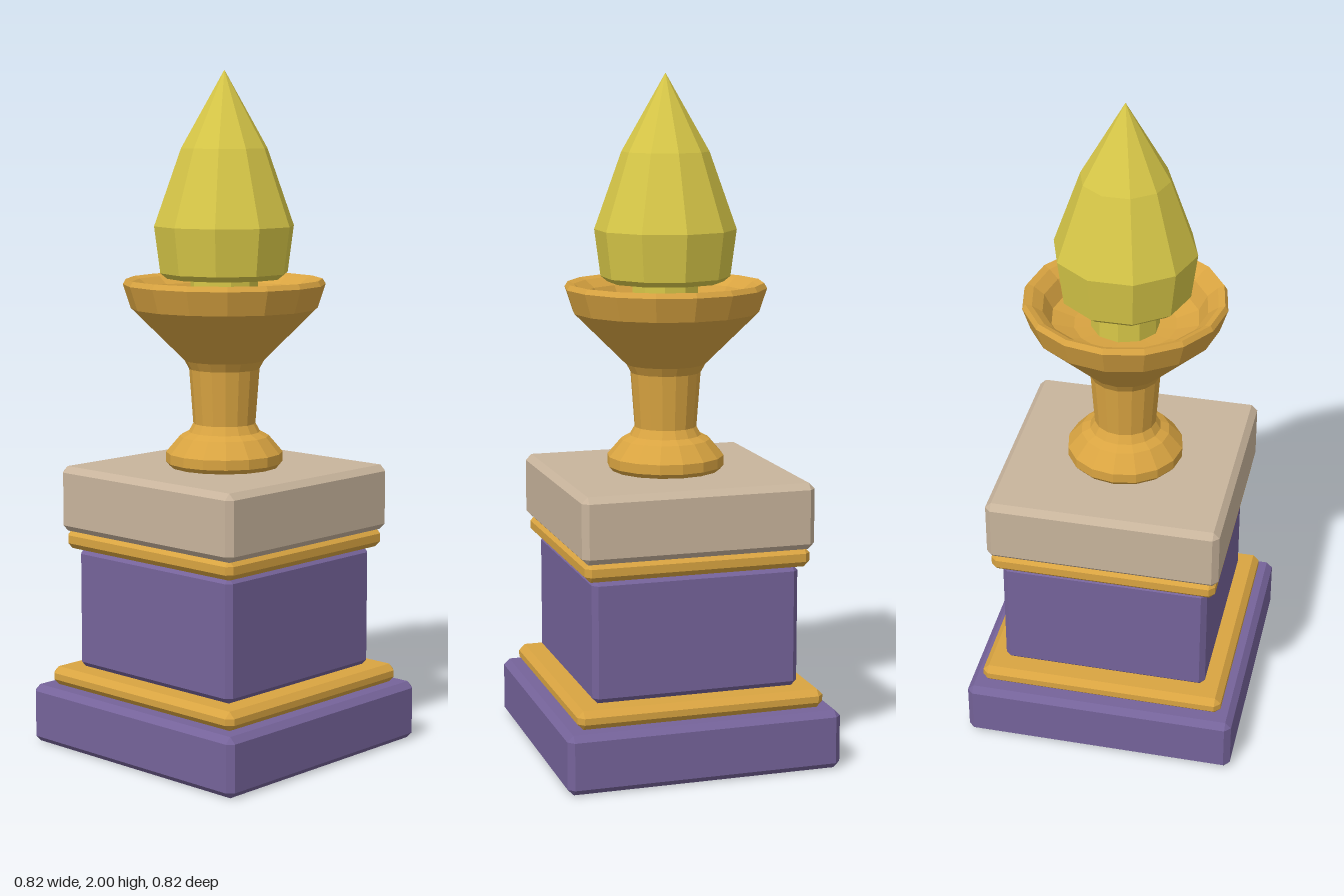
import * as THREE from 'three';
import { ConvexGeometry } from 'three/addons/geometries/ConvexGeometry.js';

const makeMaterial = (name, color) => {
  const m = new THREE.MeshStandardMaterial({ color, flatShading: true });
  m.name = name;
  return m;
};

// Square block with chamfered edges, spanning y0 to y1
function chamferedBlock(half, y0, y1, c) {
  const h = (y1 - y0) / 2;
  const points = [];
  for (const sx of [-1, 1]) for (const sy of [-1, 1]) for (const sz of [-1, 1]) {
    points.push(
      new THREE.Vector3(sx * half, sy * (h - c), sz * (half - c)),
      new THREE.Vector3(sx * (half - c), sy * h, sz * (half - c)),
      new THREE.Vector3(sx * (half - c), sy * (h - c), sz * half)
    );
  }
  return new ConvexGeometry(points).translate(0, (y0 + y1) / 2, 0);
}

// Faceted turned shape from [radius, height] pairs, listed from the bottom up
function turned(profile, sides) {
  const points = profile.map(([r, y]) => new THREE.Vector2(r, y));
  const geometry = new THREE.LatheGeometry(points, sides).toNonIndexed();
  geometry.computeVertexNormals();
  return geometry;
}

export function createModel() {
  const purple = makeMaterial('purple stone', 0x75639a);
  const gold = makeMaterial('gold', 0xd9a441);
  const pale = makeMaterial('pale stone', 0xc8b49c);
  const yellow = makeMaterial('flame yellow', 0xd8c848);

  const group = new THREE.Group();
  group.name = 'flamePedestal';
  const add = (name, geometry, material) => {
    const mesh = new THREE.Mesh(geometry, material);
    mesh.name = name;
    group.add(mesh);
    return mesh;
  };

  // Stacked square pedestal
  const blocks = [
    ['plinth', 0.41, 0, 0.175, 0.018, purple],
    ['lowerMoulding', 0.37, 0.175, 0.23, 0.018, gold],
    ['pedestalBody', 0.31, 0.23, 0.592, 0.016, purple],
    ['upperMoulding', 0.337, 0.592, 0.65, 0.017, gold],
    ['capStone', 0.347, 0.645, 0.84, 0.018, pale],
  ];
  for (const [name, half, y0, y1, c, material] of blocks) {
    add(name, chamferedBlock(half, y0, y1, c), material);
  }

  // Goblet: foot, stem, flared bowl, rim and hollow inside
  add('goblet', turned([
    [0, 0.84], [0.162, 0.84], [0.173, 0.853], [0.173, 0.882],
    [0.132, 0.93], [0.106, 0.943], [0.092, 0.968],
    [0.104, 1.13], [0.118, 1.155],
    [0.275, 1.31], [0.298, 1.38], [0.289, 1.395],
    [0.27, 1.388], [0.24, 1.365], [0.215, 1.32], [0.15, 1.3], [0, 1.29],
  ], 16), gold);

  // Faceted flame resting in the bowl
  const flame = add('flame', turned([
    [0, 1.385], [0.17, 1.397], [0.19, 1.413], [0.208, 1.55], [0.128, 1.775], [0, 2],
  ], 10), yellow);
  flame.rotation.y = Math.PI / 2;

  // Short stalk joining the flame to the bowl floor
  const stalk = add('flameStalk', new THREE.CylinderGeometry(0.1, 0.1, 0.11, 10), yellow);
  stalk.position.y = 1.345;

  return group;
}
